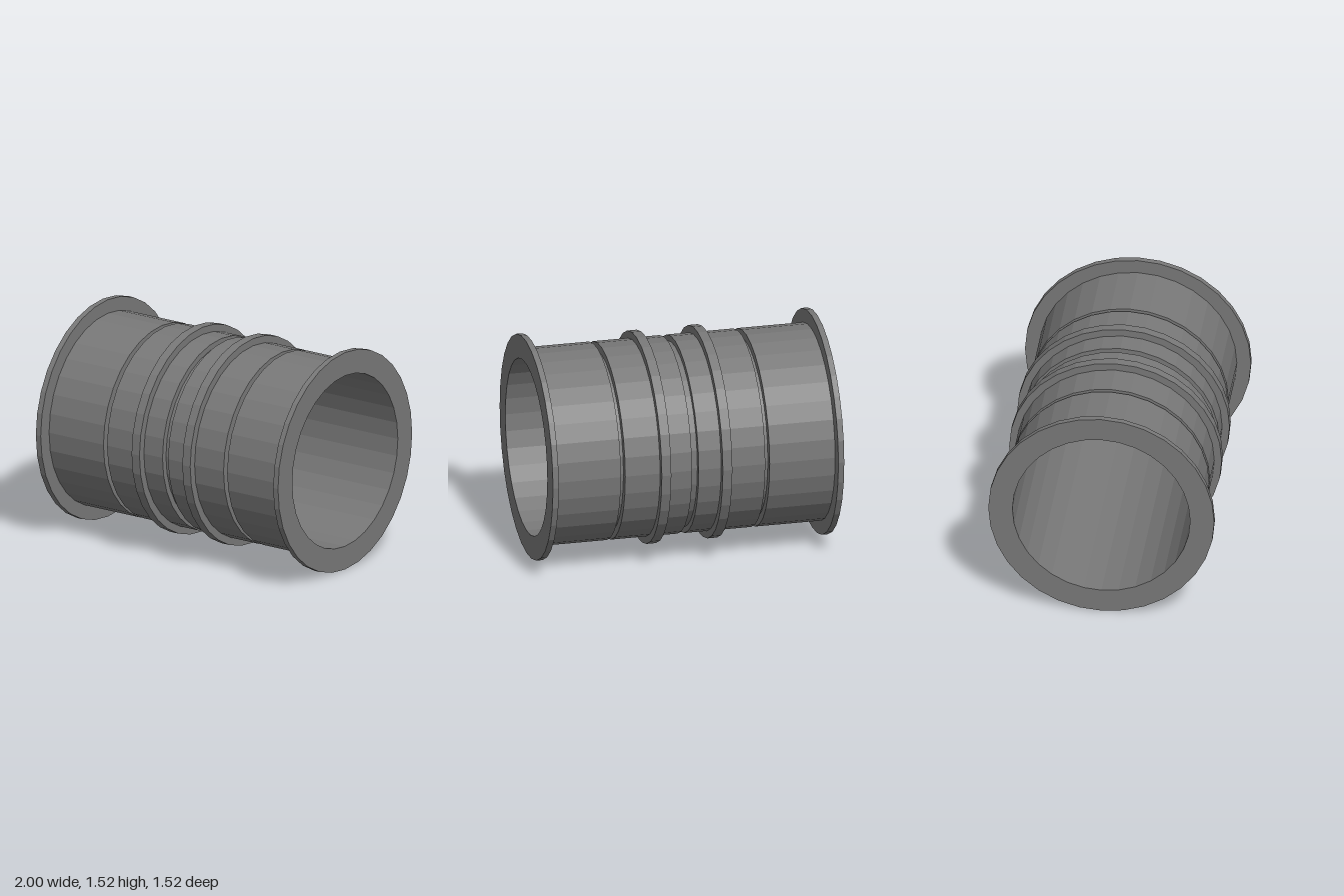
import * as THREE from 'three';

const SIDES = 32;
const CENTRE_Y = 0.76;
const R = { bore: 0.598, body: 0.665, flange: 0.76, band: 0.715, sideGroove: 0.613, midGroove: 0.626 };

export function createModel() {
  const group = new THREE.Group();
  const material = new THREE.MeshStandardMaterial({ color: 0x787878, flatShading: true });

  // Revolves [x, radius] points around the pipe's axis; rising x faces outward
  function ring(name, points) {
    const geometry = new THREE.LatheGeometry(points.map(([x, r]) => new THREE.Vector2(r, x)), SIDES);
    geometry.rotateZ(-Math.PI / 2);
    const mesh = new THREE.Mesh(geometry, material);
    mesh.name = name;
    mesh.position.y = CENTRE_Y;
    group.add(mesh);
  }

  // Adds a strip and its mirror image at the other end of the pipe
  function pair(name, points) {
    ring(name + 'Left', points);
    ring(name + 'Right', points.map(([x, r]) => [-x, r]).reverse());
  }

  // Inner wall, open at both ends
  ring('bore', [[1, R.bore], [-1, R.bore]]);

  // Narrow groove around the middle
  ring('centreGroove', [[-0.023, R.body], [-0.023, R.midGroove], [0.023, R.midGroove], [0.023, R.body]]);

  // Outer wall sections between the grooves, bands and flanges
  pair('innerWall', [[0.023, R.body], [0.177, R.body]]);
  pair('middleWall', [[0.242, R.body], [0.481, R.body]]);
  pair('outerWall', [[0.511, R.body], [0.96, R.body]]);

  // Raised bands either side of the middle
  pair('band', [[0.177, R.body], [0.177, R.band], [0.242, R.band], [0.242, R.body]]);

  // Seams halfway along each end
  pair('sideGroove', [[0.481, R.body], [0.481, R.sideGroove], [0.511, R.sideGroove], [0.511, R.body]]);

  // End flanges, with the flat face running in to the bore
  pair('flange', [[0.96, R.body], [0.96, R.flange], [1, R.flange], [1, R.bore]]);

  return group;
}
